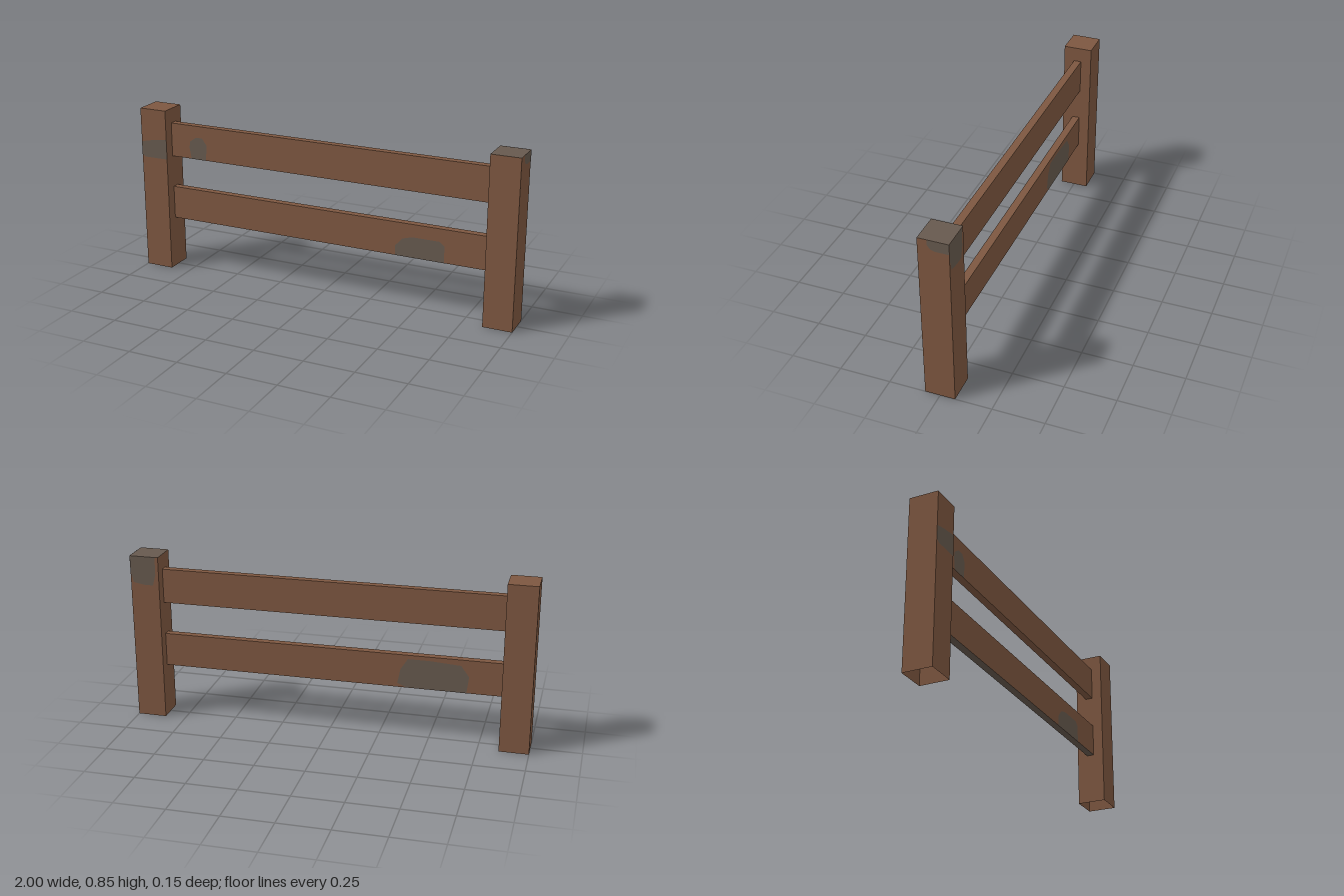
import * as THREE from 'three';

const POST = { w: 0.146, h: 0.85, x: 0.927 };
const RAIL = { len: 1.71, d: 0.038 };
const LIFT = 0.001; // how far the worn patches sit above the wood

export function createModel() {
  const wood = new THREE.MeshStandardMaterial({ name: 'brownWood', color: 0x7d5740, side: THREE.DoubleSide });
  const worn = new THREE.MeshStandardMaterial({ name: 'greyWornWood', color: 0x66594e, side: THREE.DoubleSide });
  const model = new THREE.Group();
  model.name = 'fence';

  const add = (name, geometry, material, x, y, z, turn = 0) => {
    const mesh = new THREE.Mesh(geometry, material);
    mesh.name = name;
    mesh.position.set(x, y, z);
    mesh.rotation.y = turn;
    model.add(mesh);
    return mesh;
  };

  // Posts: hollow boxes with no underside
  const post = (name, x, topMaterial) => {
    const g = new THREE.BoxGeometry(POST.w, POST.h, POST.w);
    const index = Array.from(g.index.array);
    index.splice(18, 6); // drop the bottom face
    g.setIndex(index);
    g.clearGroups();
    g.addGroup(0, 12, 0);
    g.addGroup(12, 6, 1);
    g.addGroup(18, 12, 0);
    add(name, g, [wood, topMaterial], x, POST.h / 2, 0);
  };
  post('rightPost', -POST.x, wood);
  post('leftPost', POST.x, worn);

  // Rails between the posts
  const rail = (name, y0, y1, under) => {
    const g = new THREE.BoxGeometry(RAIL.len, y1 - y0, RAIL.d);
    add(name, g, [wood, wood, wood, under, wood, wood], 0, (y0 + y1) / 2, 0);
  };
  rail('upperRail', 0.6, 0.775, wood);
  rail('lowerRail', 0.265, 0.435, worn);

  // Worn patches: thin flat outlines; u runs along the face, v is height
  const patch = (name, points, x, z, turn = 0) => {
    const shape = new THREE.Shape(points.map(([u, v]) => new THREE.Vector2(u, v)));
    add(name, new THREE.ShapeGeometry(shape), worn, x, 0, z, turn);
  };
  const postFace = POST.w / 2 + LIFT;
  const railFace = RAIL.d / 2 + LIFT;

  patch('rightPostFrontPatch', [
    [-1, 0.605], [-0.98, 0.595], [-0.854, 0.595], [-0.854, 0.7], [-0.93, 0.69], [-1, 0.675],
  ], 0, postFace);
  patch('upperRailPatch', [
    [-0.74, 0.6], [-0.655, 0.6], [-0.65, 0.68], [-0.675, 0.715], [-0.71, 0.715], [-0.745, 0.69], [-0.75, 0.66],
  ], 0, railFace);
  patch('lowerRailFrontPatch', [
    [0.385, 0.265], [0.635, 0.265], [0.635, 0.35], [0.61, 0.37], [0.47, 0.37], [0.42, 0.355], [0.385, 0.315],
  ], 0, railFace);

  // Back faces are turned half round, so u is -x
  patch('lowerRailBackPatch', [
    [0.34, 0.285], [0.38, 0.268], [0.68, 0.265], [0.69, 0.35], [0.65, 0.405], [0.5, 0.415], [0.39, 0.415], [0.355, 0.36],
  ], 0, -railFace, Math.PI);
  patch('leftPostBackPatch', [
    [-1, 0.85], [-1, 0.77], [-0.985, 0.715], [-0.93, 0.705], [-0.885, 0.705], [-0.87, 0.76], [-0.87, 0.85],
  ], 0, -postFace, Math.PI);

  // Outer side of the left post, u is -z
  patch('leftPostSidePatch', [
    [-0.028, 0.85], [-0.028, 0.825], [-0.012, 0.805], [0.01, 0.799], [0.073, 0.799], [0.073, 0.85],
  ], POST.x + postFace, 0, Math.PI / 2);

  return model;
}
